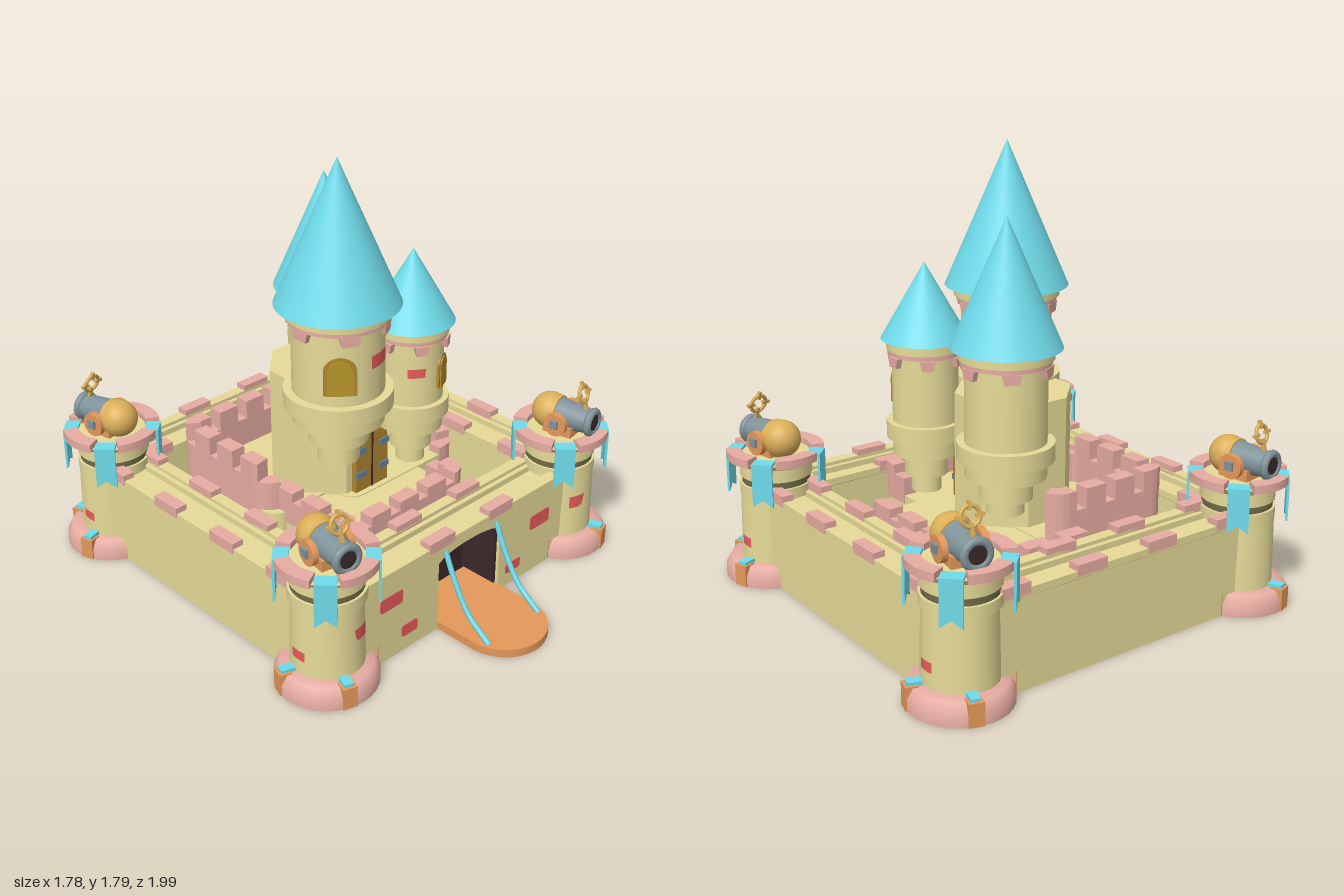
import * as THREE from 'three';

const mat = (color, side = THREE.FrontSide) => new THREE.MeshStandardMaterial({ color, side });
const STONE = mat(0xe6db98, THREE.DoubleSide), PINK = mat(0xe6aca2, THREE.DoubleSide), BLUE = mat(0x70dbea, THREE.DoubleSide);
const RED = mat(0xe85c5a, THREE.DoubleSide), ORANGE = mat(0xe4985a), DARK = mat(0x3a2829), GREY = mat(0x80939a), GOLD = mat(0xdcb05a);
const WOOD = mat(0xb08532), SHADE = mat(0x6f6a48), IRON = mat(0x5f82a0);

function add(parent, name, geo, material, x = 0, y = 0, z = 0, ry = 0) {
  const m = new THREE.Mesh(geo, material);
  m.name = name;
  m.position.set(x, y, z);
  m.rotation.y = ry;
  parent.add(m);
  return m;
}
const box = (w, h, d) => new THREE.BoxGeometry(w, h, d);
const extrude = (shape, depth) => new THREE.ExtrudeGeometry(shape, { depth, bevelEnabled: false, curveSegments: 10 });
const poly = (pts) => new THREE.Shape(pts.map(([x, y]) => new THREE.Vector2(x, y)));

// Removes the faces resting on the ground, leaving the part open below
function openBottom(geo) {
  const p = geo.attributes.position.array, kept = [];
  for (let i = 0; i < p.length; i += 9)
    if (Math.max(p[i + 1], p[i + 4], p[i + 7]) > 1e-4) kept.push(...p.slice(i, i + 9));
  const out = new THREE.BufferGeometry();
  out.setAttribute('position', new THREE.Float32BufferAttribute(kept, 3));
  out.computeVertexNormals();
  return out;
}
// Upright cylinder between two heights
function drum(parent, name, r0, r1, y0, y1, material) {
  return add(parent, name, new THREE.CylinderGeometry(r1, r0, y1 - y0, 32), material, 0, (y0 + y1) / 2, 0);
}
// Curved patch lying on a round wall
function patch(parent, name, r, y, width, h, angle, material) {
  const t = width / r;
  return add(parent, name, new THREE.CylinderGeometry(r, r, h, 8, 1, true, angle - t / 2, t), material, 0, y, 0);
}
// Solid band of constant width following plan points (x, z)
function strip(parent, name, pts, w, y0, y1, material) {
  const side = (s) => pts.map((p, i) => {
    const d = pts[Math.min(i + 1, pts.length - 1)].clone().sub(pts[Math.max(i - 1, 0)]).normalize();
    return new THREE.Vector2(p.x - d.y * s, -(p.y + d.x * s));
  });
  const geo = extrude(new THREE.Shape([...side(w / 2), ...side(-w / 2).reverse()]), y1 - y0).rotateX(-Math.PI / 2);
  return add(parent, name, geo, material, 0, y0, 0);
}
// Plan path with rounded corners
function roundedPath(corners, r) {
  const v = corners.map(([x, z]) => new THREE.Vector2(x, z));
  const path = new THREE.Path().moveTo(v[0].x, v[0].y);
  for (let i = 1; i < v.length - 1; i++) {
    const a = v[i].clone().add(v[i - 1].clone().sub(v[i]).setLength(r));
    const b = v[i].clone().add(v[i + 1].clone().sub(v[i]).setLength(r));
    path.lineTo(a.x, a.y).quadraticCurveTo(v[i].x, v[i].y, b.x, b.y);
  }
  const e = v[v.length - 1];
  path.lineTo(e.x, e.y);
  return path.getSpacedPoints(64);
}
function roundRect(x0, x1, y0, y1, r) {
  const s = new THREE.Shape();
  [[x1 - r, y1 - r], [x0 + r, y1 - r], [x0 + r, y0 + r], [x1 - r, y0 + r]].forEach(([x, y], q) =>
    s.absarc(x, y, r, q * Math.PI / 2, (q + 1) * Math.PI / 2, false));
  return s;
}

// Curtain wall: stepped channel along the top, merlons on both parapets
function wall(parent, cx, cz, len, alongX, y0 = 0, merlons = []) {
  const g = new THREE.Group();
  g.name = 'curtainWall';
  const half = [[0.106, y0], [0.106, 0.362], [0.111, 0.366], [0.111, 0.395], [0.062, 0.395], [0.062, 0.38], [0.042, 0.38], [0.042, 0.355]];
  const shape = poly([...half, ...half.map(([x, y]) => [-x, y]).reverse()]);
  add(g, 'wall', openBottom(extrude(shape, len).translate(0, 0, -len / 2)), STONE);
  for (const t of merlons) for (const s of [-1, 1])
    add(g, 'wallMerlon', box(0.052, 0.045, 0.14), PINK, s * 0.088, 0.397, t);
  g.position.set(cx, 0, cz);
  g.rotation.y = alongX ? Math.PI / 2 : 0;
  parent.add(g);
}

// Cannon pointing along local +z
function cannon() {
  const g = new THREE.Group();
  g.name = 'cannon';
  const tube = (name, r0, r1, z0, z1, m) =>
    add(g, name, new THREE.CylinderGeometry(r1, r0, z1 - z0, 24).rotateX(Math.PI / 2), m, 0, 0, (z0 + z1) / 2);
  tube('barrel', 0.07, 0.05, -0.06, 0.125, GREY);
  tube('barrelBand', 0.075, 0.073, -0.05, -0.02, GOLD);
  tube('bore', 0.036, 0.036, 0.1, 0.138, DARK);
  add(g, 'muzzle', new THREE.TorusGeometry(0.047, 0.016, 10, 24), GREY, 0, 0, 0.128);
  add(g, 'breech', new THREE.SphereGeometry(0.078, 24, 16), GOLD, 0, 0, -0.065);
  add(g, 'cradle', box(0.13, 0.05, 0.13), ORANGE, 0, -0.05, 0);
  for (const s of [-1, 1]) {
    add(g, 'cheek', new THREE.CylinderGeometry(0.05, 0.05, 0.025, 20).rotateZ(Math.PI / 2), ORANGE, s * 0.078, -0.015, 0);
    add(g, 'axleCap', box(0.02, 0.035, 0.035), GREY, s * 0.092, -0.01, 0);
  }
  // Ring sight leaning back
  const sight = new THREE.Group();
  sight.name = 'sight';
  sight.position.set(0, 0.118, 0.08);
  sight.rotation.x = -0.25;
  add(sight, 'sightPost', box(0.014, 0.05, 0.014), GOLD, 0, -0.06, 0);
  add(sight, 'sightRing', new THREE.TorusGeometry(0.036, 0.008, 8, 24), GOLD);
  for (let i = 0; i < 4; i++) {
    const a = i * Math.PI / 2;
    add(sight, 'sightTick', box(0.034, 0.012, 0.014), GOLD, Math.cos(a) * 0.037, Math.sin(a) * 0.037, 0).rotation.z = a;
  }
  g.add(sight);
  return g;
}

// Corner tower; sx and sz choose the corner
function cornerTower(sx, sz) {
  const g = new THREE.Group();
  g.name = 'cornerTower';
  g.position.set(sx * 0.67, 0, sz > 0 ? 0.533 : -0.778);
  const place = (angle, fn) => fn(sx * Math.sin(angle), sz * Math.cos(angle), Math.atan2(sx * Math.sin(angle), sz * Math.cos(angle)));
  const bx = sx * 0.018, bz = sz * 0.013;
  const skirt = [[0.2, 0], [0.2, 0.045], [0.178, 0.084], [0.13, 0.086]].map(([r, y]) => new THREE.Vector2(r, y));
  add(g, 'base', new THREE.LatheGeometry(skirt, 32), PINK, bx, 0, bz);
  drum(g, 'shaft', 0.143, 0.137, 0.08, 0.41, STONE).position.set(sx * 0.008, 0.245, sz * 0.006);
  drum(g, 'collar', 0.15, 0.15, 0.365, 0.41, STONE);
  drum(g, 'groove', 0.14, 0.14, 0.41, 0.44, SHADE);
  drum(g, 'head', 0.148, 0.148, 0.44, 0.5, STONE);
  drum(g, 'deck', 0.165, 0.188, 0.5, 0.525, STONE);
  // Claw feet with straps
  for (let i = 0; i < 4; i++) place(0.32 + i * Math.PI / 2, (x, z, ry) => {
    add(g, 'foot', box(0.058, 0.09, 0.05), ORANGE, bx + x * 0.178, 0.045, bz + z * 0.178, ry);
    add(g, 'footStrap', box(0.038, 0.1, 0.055), BLUE, bx + x * 0.165, 0.052, bz + z * 0.165, ry);
  });
  // Long merlons on the axes, banners on the diagonals
  const tail = poly([[-0.042, 0.535], [-0.042, 0.355], [0, 0.385], [0.042, 0.355], [0.042, 0.535]]);
  for (let i = 0; i < 4; i++) {
    const arc = Array.from({ length: 11 }, (_, k) => i * Math.PI / 2 + (k / 10 - 0.5) * 1.0)
      .map((t) => new THREE.Vector2(Math.sin(t) * 0.169, Math.cos(t) * 0.169));
    strip(g, 'towerMerlon', arc, 0.06, 0.515, 0.55, PINK);
    place(Math.PI / 4 + i * Math.PI / 2, (x, z, ry) => {
      add(g, 'banner', extrude(tail, 0.01), BLUE, x * 0.188, 0, z * 0.188, ry);
      add(g, 'bannerFold', box(0.084, 0.014, 0.058), BLUE, x * 0.168, 0.53, z * 0.168, ry);
    });
  }
  // Inlaid bricks
  if (sz > 0) patch(g, 'brick', 0.145, 0.245, 0.09, 0.055, -sx * 0.2, RED);
  patch(g, 'brick', 0.151, 0.165, 0.065, 0.04, sx * Math.PI / 2, RED);
  const c = cannon();
  c.position.set(sx * 0.009, 0.595, sz * 0.01);
  c.rotation.y = Math.atan2(sx * 0.18, sz);
  g.add(c);
  return g;
}

// Keep turret: stepped corbel, body, hanging crenels and cone roof
function turret(x, z, r, yBody, yEave, yTip, rRoof, foot) {
  const g = new THREE.Group();
  g.name = 'turret';
  g.position.set(x, 0, z);
  drum(g, 'corbelFoot', r * 0.46, r * 0.46, foot, yBody - 0.22, STONE);
  drum(g, 'corbelLower', r * 0.66, r * 0.66, yBody - 0.23, yBody - 0.13, STONE);
  drum(g, 'corbelUpper', r, r, yBody - 0.14, yBody - 0.06, STONE);
  drum(g, 'collar', r * 1.19, r * 1.19, yBody - 0.07, yBody, STONE);
  drum(g, 'body', r, r, yBody, yEave, STONE);
  drum(g, 'eaveRing', r * 1.16, r * 1.16, yEave - 0.04, yEave, STONE);
  drum(g, 'crenelBand', r * 1.1, r * 1.1, yEave - 0.06, yEave - 0.04, PINK);
  const drop = poly([[-r * 0.24, 0], [-r * 0.17, -0.04], [r * 0.17, -0.04], [r * 0.24, 0]]);
  for (let i = 0; i < 6; i++) {
    const a = (i + 0.5) * Math.PI / 3;
    add(g, 'hangingCrenel', extrude(drop, 0.03), PINK, Math.sin(a) * r * 0.93, yEave - 0.06, Math.cos(a) * r * 0.93, a);
  }
  add(g, 'roof', new THREE.ConeGeometry(rRoof, yTip - yEave, 48), BLUE, 0, (yEave + yTip) / 2, 0);
  return g;
}
function archWindow(g, r, angle, y, w, h) {
  const arch = (k) => {
    const s = new THREE.Shape().moveTo(-w * k, 0).lineTo(w * k, 0).lineTo(w * k, h - w);
    return s.absarc(0, h - w, w * k, 0, Math.PI, false);
  };
  const at = (d) => [Math.sin(angle) * (r - d), y, Math.cos(angle) * (r - d), angle];
  add(g, 'windowFrame', extrude(arch(1), 0.03), WOOD, ...at(0.027));
  add(g, 'windowPane', extrude(arch(0.78), 0.03), mat(0xb8962c), ...at(0.022));
}

export function createModel() {
  const root = new THREE.Group();
  root.name = 'castle';
  for (const sx of [-1, 1]) for (const sz of [-1, 1]) root.add(cornerTower(sx, sz));

  // Curtain walls, the front one split around the gate
  const spots = [-0.52, -0.17, 0.17, 0.52];
  wall(root, 0, -0.775, 1.2, true, 0, spots);
  for (const s of [-1, 1]) {
    wall(root, s * 0.655, -0.125, 1.24, false, 0, [-0.52, -0.175, 0.17, 0.5]);
    wall(root, s * 0.39, 0.53, 0.42, true);
    add(root, 'gateLining', box(0.012, 0.32, 0.19), DARK, s * 0.176, 0.16, 0.527);
  }
  wall(root, 0, 0.53, 0.36, true, 0.335, [-0.17, 0.17]);
  const spandrel = new THREE.Shape().moveTo(-0.18, 0.336).lineTo(-0.18, 0.3);
  spandrel.quadraticCurveTo(-0.13, 0.333, 0, 0.334).quadraticCurveTo(0.13, 0.333, 0.18, 0.3).lineTo(0.18, 0.336);
  add(root, 'gateArch', extrude(spandrel, 0.2), STONE, 0, 0, 0.434);
  add(root, 'gateDoor', box(0.36, 0.335, 0.02), DARK, 0, 0.1675, 0.44);
  for (const [x, y, w, h] of [[-0.44, 0.26, 0.12, 0.06], [-0.34, 0.09, 0.085, 0.05], [0.43, 0.235, 0.12, 0.065], [0.27, 0.08, 0.09, 0.045]])
    add(root, 'wallBrick', extrude(roundRect(-w / 2, w / 2, -h / 2, h / 2, 0.012), 0.012), RED, x, y, 0.627);

  // Drawbridge and its ropes
  const deck = new THREE.Shape().moveTo(-0.18, -0.46).lineTo(0.18, -0.46).lineTo(0.18, -0.815);
  deck.absarc(0, -0.815, 0.18, 0, -Math.PI, true);
  add(root, 'drawbridge', extrude(deck, 0.035).rotateX(-Math.PI / 2), ORANGE);
  for (const s of [-1, 1]) {
    const rope = new THREE.CatmullRomCurve3([[0.35, 0.64], [0.25, 0.685], [0.12, 0.765], [0.06, 0.84], [0.035, 0.875]]
      .map(([y, z]) => new THREE.Vector3(s * 0.148, y, z)));
    add(root, 'drawbridgeRope', new THREE.TubeGeometry(rope, 20, 0.011, 8), BLUE);
  }

  // Hollow terraces of the inner platform: [x0, x1, z0, z1, floor]
  for (const [x0, x1, z0, z1, y] of [[-0.455, 0.1, -0.585, 0.0, 0.345], [-0.395, 0.25, -0.2, 0.38, 0.335], [-0.14, 0.48, -0.63, 0.115, 0.34]]) {
    const plan = (d) => roundRect(x0 + d, x1 - d, -z1 + d, -z0 - d, 0.07 - d);
    const shell = plan(0);
    shell.holes.push(plan(0.015));
    add(root, 'terraceWall', openBottom(extrude(shell, y - 0.01).rotateX(-Math.PI / 2)), STONE);
    add(root, 'terraceFloor', extrude(plan(0), 0.012).rotateX(-Math.PI / 2), STONE, 0, y - 0.012, 0);
  }
  // Battlements around the terraces
  const ramparts = [
    [[[0.08, -0.52], [0.06, -0.56], [-0.43, -0.56], [-0.43, -0.08], [-0.38, -0.06]], 0.47, 0.55],
    [[[-0.37, -0.06], [-0.37, 0.355], [0.225, 0.355], [0.225, 0.21]], 0.41, 0.45],
    [[[0, -0.63], [0.455, -0.63], [0.455, 0.09], [0.38, 0.09]], 0.375, 0.412],
  ];
  for (const [corners, low, high] of ramparts) {
    const pts = roundedPath(corners, 0.04);
    strip(root, 'battlement', pts, 0.06, 0.3, low, PINK);
    for (let i = 0; i + 6 < pts.length; i += 9) strip(root, 'battlementMerlon', pts.slice(i, i + 7), 0.064, low - 0.02, high, PINK);
  }

  // Octagonal keep with its door
  const keep = new THREE.CylinderGeometry(0.238, 0.238, 0.52, 8).rotateY(Math.PI / 8).toNonIndexed();
  keep.computeVertexNormals();
  add(root, 'keep', keep, STONE, -0.03, 0.58, -0.155);
  add(root, 'keepDoor', extrude(poly([[-0.09, 0.33], [0.09, 0.33], [0.09, 0.565], [0, 0.615], [-0.09, 0.565]]), 0.06), WOOD, 0, 0, 0.03);
  add(root, 'doorSeam', box(0.008, 0.27, 0.01), DARK, 0, 0.465, 0.088);
  for (const s of [-1, 1]) for (const y of [0.42, 0.53])
    add(root, 'doorHinge', box(0.05, 0.025, 0.016), IRON, s * 0.065, y, 0.09);

  // Three turrets
  const big = turret(-0.152, 0.052, 0.185, 0.85, 1.21, 1.79, 0.25, 0.53);
  archWindow(big, 0.185, -0.72, 0.9, 0.065, 0.16);
  patch(big, 'turretBrick', 0.188, 1.015, 0.115, 0.055, 0.3, RED);
  const small = turret(0.218, 0.097, 0.132, 0.7, 1.035, 1.34, 0.175, 0.4);
  archWindow(small, 0.132, 0.43, 0.76, 0.045, 0.14);
  patch(small, 'turretBrick', 0.135, 0.85, 0.075, 0.04, -0.65, RED);
  root.add(big, small, turret(0.138, -0.33, 0.16, 0.71, 1.08, 1.575, 0.216, 0.42));
  return root;
}
